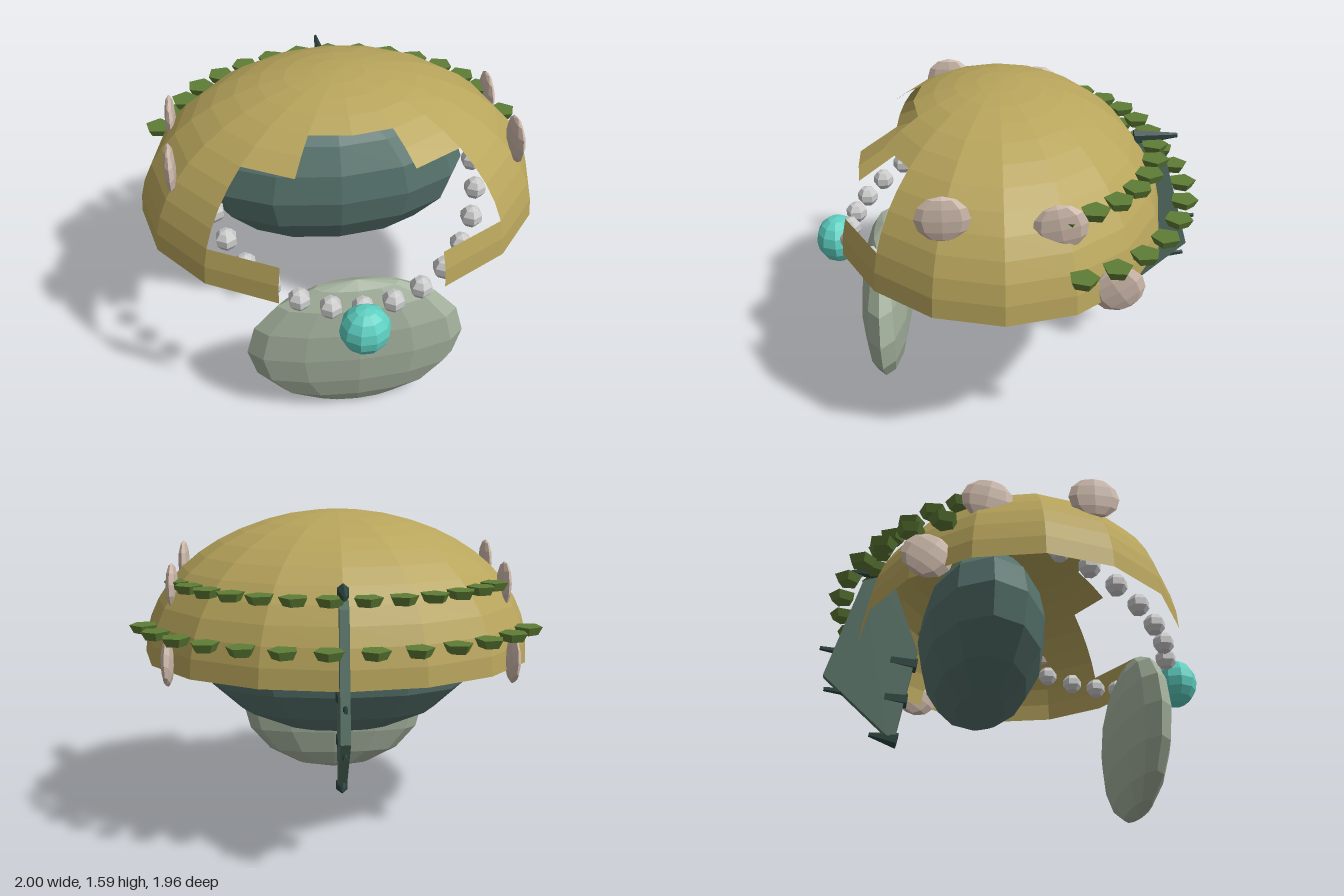
import * as THREE from 'three';
import { mergeGeometries } from 'three/addons/utils/BufferGeometryUtils.js';

const CX = -0.01; // symmetry plane
const DEG = Math.PI / 180;

function material(color, side = THREE.FrontSide) {
  return new THREE.MeshStandardMaterial({ color, flatShading: true, side });
}

const mats = {
  shell: material(0xb8a55c, THREE.DoubleSide),
  body: material(0x56726c),
  disc: material(0xa3b09c),
  gem: material(0x5ed0c2),
  bead: material(0xd0d0cc),
  stone: material(0xcdb8aa),
  leaf: material(0x5f7d36),
  fin: material(0x557064),
  spike: material(0x2c443e),
};

export function createModel() {
  const model = new THREE.Group();
  model.name = 'shellOrnament';

  function add(name, geometry, mat, x = 0, y = 0, z = 0, parent = model) {
    const mesh = new THREE.Mesh(geometry, mat);
    mesh.name = name;
    mesh.position.set(x, y, z);
    parent.add(mesh);
    return mesh;
  }

  function addGroup(name) {
    const group = new THREE.Group();
    group.name = name;
    model.add(group);
    return group;
  }

  const ellipsoid = (rx, ry, rz, segments, rows) =>
    new THREE.SphereGeometry(1, segments, rows).scale(rx, ry, rz);

  // Open dome: six rows of sixteen panels, with panels left out at the front
  const seg = Math.PI / 8;
  const row = Math.PI / 12;
  const rows = [0, 0, 2, 4, 4, 2].map((gap, i) =>
    new THREE.SphereGeometry(1, 16 - gap, 1,
      Math.PI / 2 + gap * seg / 2, (16 - gap) * seg, i * row, row));
  add('dome', mergeGeometries(rows).scale(0.99, 0.725, 0.824), mats.shell, CX, 0.87, 0.03);

  // Body inside the dome, front disc and gem
  add('innerBody', ellipsoid(0.69, 0.405, 0.33, 12, 8), mats.body, CX, 0.9, -0.16);
  add('frontDisc', ellipsoid(0.535, 0.407, 0.13, 12, 8), mats.disc, CX, 0.41, 0.63);
  add('gem', ellipsoid(0.12, 0.125, 0.11, 10, 8), mats.gem, CX, 0.735, 0.87);

  // Half ring of beads rising toward the sides
  const beads = addGroup('beadString');
  const beadGeometry = new THREE.SphereGeometry(0.056, 6, 5).rotateY(Math.PI / 6);
  for (let i = -7; i <= 7; i++) {
    const a = i * Math.PI / 14;
    add('bead', beadGeometry, mats.bead,
      CX + 0.65 * Math.sin(a), 1.1 - 0.3 * Math.cos(a), 0.15 + 0.65 * Math.cos(a), beads);
  }

  // Flat side stones, mirrored
  const stones = addGroup('sideStones');
  const stoneGeometry = ellipsoid(0.028, 0.11, 0.122, 8, 6);
  for (const side of [-1, 1]) {
    for (const [y, z, turn] of [[1.3, 0.29, 0], [1.25, -0.21, 0.2], [0.93, -0.475, 0.6]]) {
      add('sideStone', stoneGeometry, mats.stone, CX + side * 0.81, y, z, stones).rotation.x = turn;
    }
  }

  // Two rows of five-sided leaves around the back
  const leafGeometry = new THREE.CylinderGeometry(0.07, 0.05, 0.04, 5);
  for (const [name, y, rx, rz, cz] of [
    ['lowerLeaves', 1.06, 0.982, 0.83, -0.06],
    ['upperLeaves', 1.26, 0.81, 0.7, -0.035],
  ]) {
    const leaves = addGroup(name);
    for (let i = 0; i < 13; i++) {
      const a = (4 + (i - 6) * 11.5) * DEG;
      const leaf = add('leaf', leafGeometry, mats.leaf,
        CX + rx * Math.sin(a), y, cz - rz * Math.cos(a), leaves);
      leaf.rotation.y = Math.PI - a;
    }
  }

  // Back fin: outline as (z, y), turned into the middle plane
  const outline = [[-0.64, 1.26], [-0.72, 1.26], [-0.79, 1.235], [-0.955, 0.68], [-0.62, 0.37], [-0.58, 0.37], [-0.49, 0.84]];
  const finShape = new THREE.Shape(outline.map(([z, y]) => new THREE.Vector2(-z, y)));
  const finGeometry = new THREE.ExtrudeGeometry(finShape, { depth: 0.044, bevelEnabled: false });
  finGeometry.translate(0, 0, -0.022).rotateY(Math.PI / 2);
  add('backFin', finGeometry, mats.fin, CX);

  // Spikes through the fin: base and tip as (y, z)
  const spikes = addGroup('finSpikes');
  for (const [y0, z0, y1, z1] of [
    [1.285, -0.64, 1.296, -0.857],
    [0.765, -0.49, 0.838, -0.984],
    [0.567, -0.53, 0.612, -0.947],
    [0.352, -0.57, 0.38, -0.709],
  ]) {
    const dir = new THREE.Vector3(0, y1 - y0, z1 - z0);
    const geometry = new THREE.CylinderGeometry(0.012, 0.042, dir.length(), 6).scale(0.75, 1, 1);
    const spike = add('finSpike', geometry, mats.spike, CX, (y0 + y1) / 2, (z0 + z1) / 2, spikes);
    spike.quaternion.setFromUnitVectors(new THREE.Vector3(0, 1, 0), dir.normalize());
  }

  return model;
}
